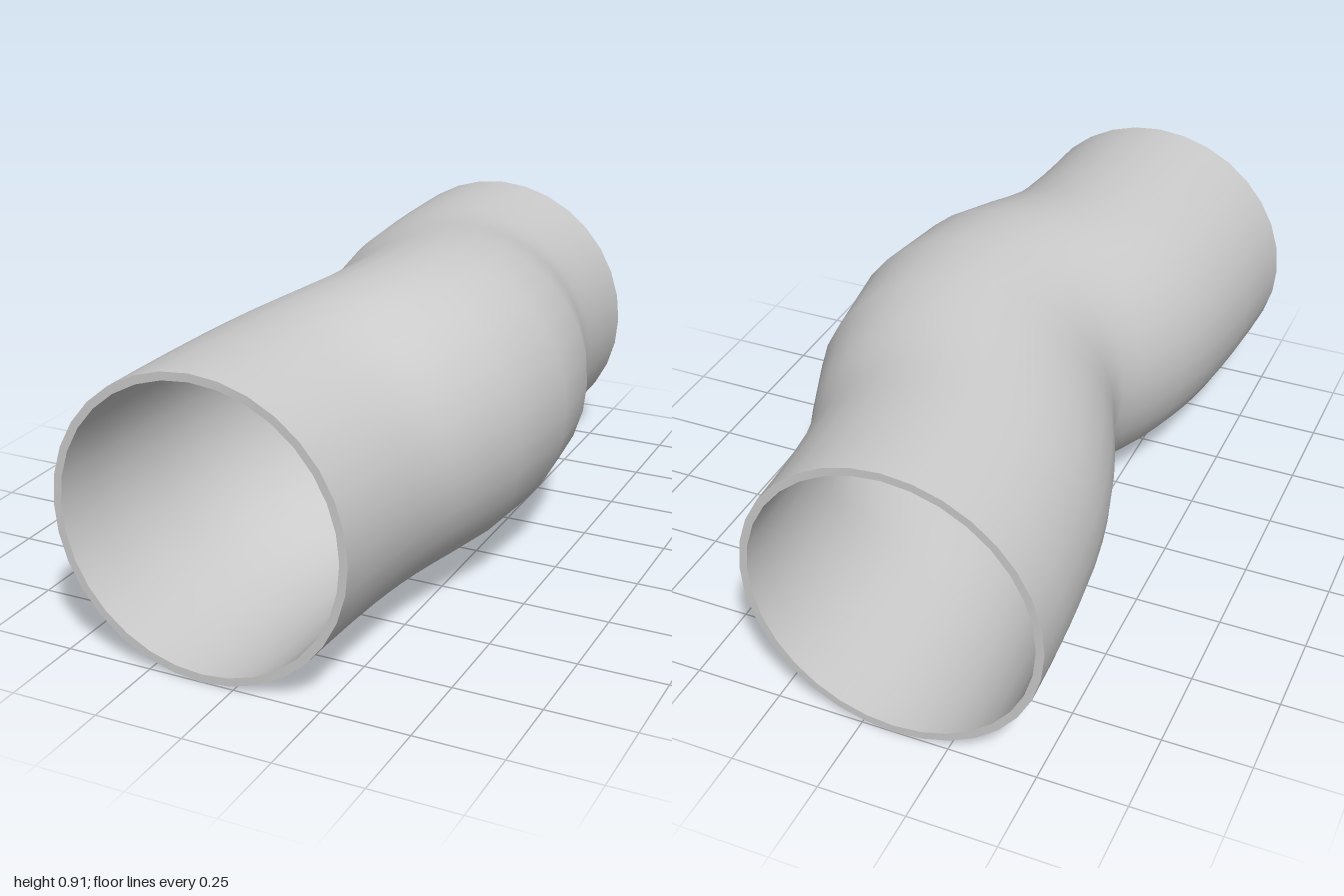
import * as THREE from 'three';

const SIDES = 32, OUTER = 0.425, INNER = 0.402;
const HALF = [0.15, 0.27, 0.35, 0.42, 0.48, 0.54, 0.62, 0.75, 0.88, 1];
const STATIONS = [...HALF.map(z => -z).reverse(), 0, ...HALF];

// Bell-shaped sideways shift of the pipe: 1 in the middle, 0 at both ends
function bend(z) {
  const bell = 1 / (1 + Math.pow(Math.abs(z) / 0.36, 2.7));
  return (bell - 0.06) / 0.94;
}

function centre(z) {
  const w = Math.abs(z) === 1 ? 0 : bend(z);
  return new THREE.Vector3(-0.092 + 0.184 * w, 0.425 + 0.063 * w, z);
}

// Circle of points square to the centre line; the two ends stay flat
function ring(z, radius) {
  const tangent = new THREE.Vector3(0, 0, 1);
  if (Math.abs(z) < 1) tangent.subVectors(centre(z + 0.01), centre(z - 0.01)).normalize();
  const turn = new THREE.Quaternion().setFromUnitVectors(new THREE.Vector3(0, 0, 1), tangent);
  const points = [];
  for (let i = 0; i < SIDES; i++) {
    const a = (i / SIDES) * Math.PI * 2;
    points.push(new THREE.Vector3(Math.cos(a), Math.sin(a), 0)
      .multiplyScalar(radius).applyQuaternion(turn).add(centre(z)));
  }
  return points;
}

// Skin over a row of rings, facing outward when the rings run toward +z
function loft(rings) {
  const index = [];
  for (let r = 0; r < rings.length - 1; r++) {
    for (let i = 0; i < SIDES; i++) {
      const j = (i + 1) % SIDES;
      const a = r * SIDES + i, b = r * SIDES + j;
      index.push(a, b, b + SIDES, a, b + SIDES, a + SIDES);
    }
  }
  const geometry = new THREE.BufferGeometry().setFromPoints(rings.flat());
  geometry.setIndex(index);
  geometry.computeVertexNormals();
  return geometry;
}

export function createModel() {
  const group = new THREE.Group();
  group.name = 'bentPipe';
  const material = new THREE.MeshStandardMaterial({ color: 0xcccccc });
  const add = (name, rings) => {
    const mesh = new THREE.Mesh(loft(rings), material);
    mesh.name = name;
    group.add(mesh);
  };

  // Pipe wall, outside and inside
  add('outerWall', STATIONS.map(z => ring(z, OUTER)));
  add('innerWall', [...STATIONS].reverse().map(z => ring(z, INNER)));

  // Flat rims closing the wall thickness
  add('frontRim', [ring(1, OUTER), ring(1, INNER)]);
  add('backRim', [ring(-1, INNER), ring(-1, OUTER)]);
  return group;
}
